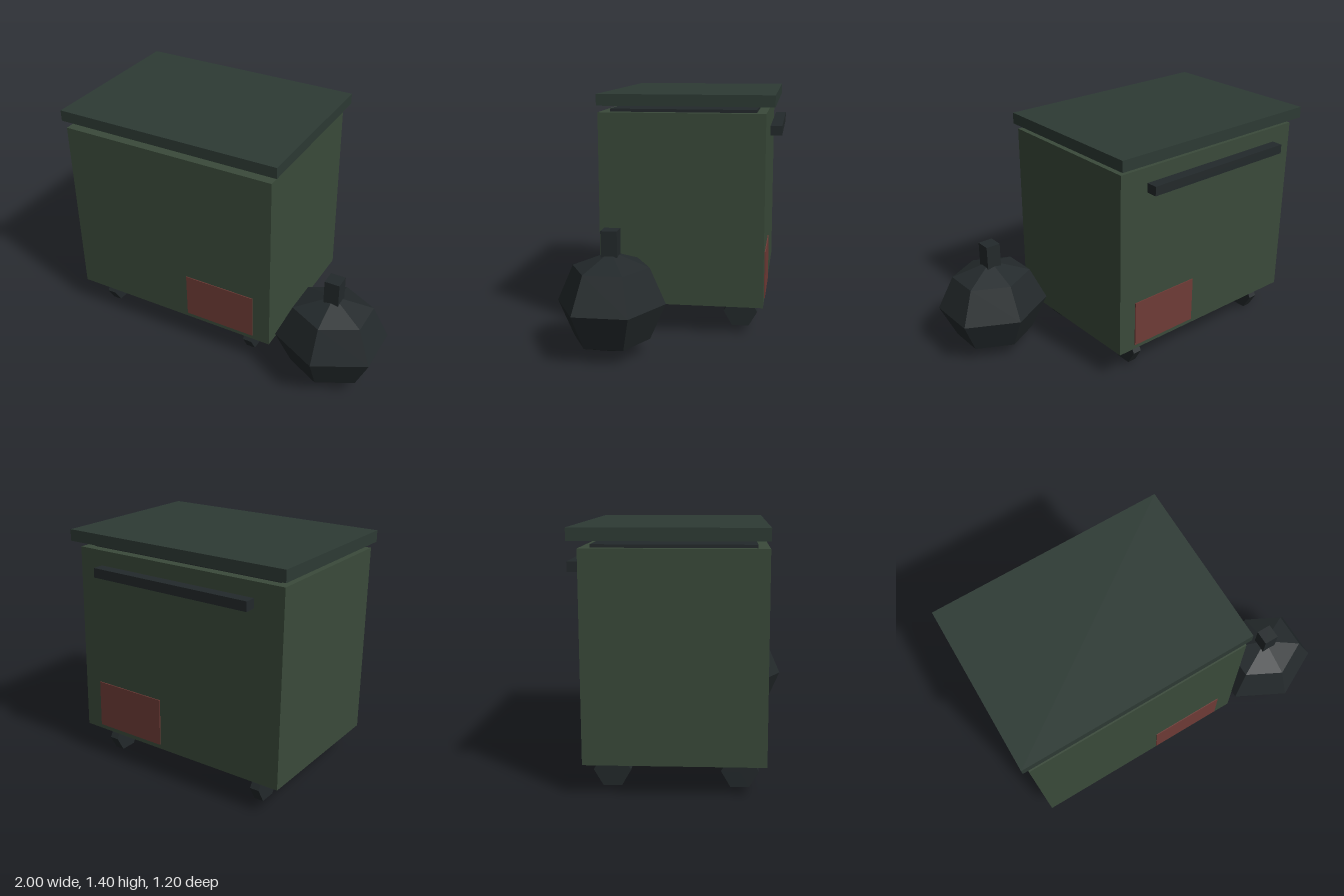
import * as THREE from 'three';

const paint = (color) => new THREE.MeshStandardMaterial({ color, flatShading: true });

export function createModel() {
  const model = new THREE.Group();
  const green = paint(0x3a4a3a);
  const lidGreen = paint(0x2d3a34);
  const rust = paint(0x6e3b36);
  const black = paint(0x23292b);
  const grey = paint(0x3a3d3c);

  const add = (parent, name, geometry, material) => {
    const mesh = new THREE.Mesh(geometry, material);
    mesh.name = name;
    parent.add(mesh);
    return mesh;
  };

  // Box given by its minimum and maximum on each axis
  const box = (parent, name, material, [x0, x1], [y0, y1], [z0, z1]) => {
    const mesh = add(parent, name, new THREE.BoxGeometry(x1 - x0, y1 - y0, z1 - z0), material);
    mesh.position.set((x0 + x1) / 2, (y0 + y1) / 2, (z0 + z1) / 2);
    return mesh;
  };

  // Container, lid and push bar
  box(model, 'body', green, [-0.97, 0.37], [0.178, 1.295], [-0.515, 0.44]);
  box(model, 'lid', lidGreen, [-1, 0.4], [1.334, 1.4], [-0.565, 0.441]);
  box(model, 'handle', black, [-0.805, 0.2], [1.16, 1.215], [-0.6, -0.533]);

  // Rust patches on front and back
  box(model, 'frontPatch', rust, [-0.19, 0.26], [0.205, 0.485], [0.43, 0.445]);
  box(model, 'backPatch', rust, [-0.19, 0.26], [0.205, 0.485], [-0.521, -0.505]);

  // Rubbish showing in the gap under the lid
  const rubbish = new THREE.Group();
  rubbish.name = 'rubbish';
  model.add(rubbish);
  box(rubbish, 'rubbishLayer', black, [-0.915, 0.31], [1.28, 1.312], [-0.46, 0.38]);
  box(rubbish, 'scrap', grey, [-0.31, -0.07], [1.305, 1.325], [-0.375, -0.15]);
  for (const [x, z] of [[-0.585, 0.1], [0.013, -0.095]]) {
    const lump = add(rubbish, 'rubbishLump', new THREE.ConeGeometry(0.04, 0.02, 6), black);
    lump.position.set(x, 1.311, z);
  }

  // Four hexagonal wheels
  const wheelGeometry = new THREE.CylinderGeometry(0.1, 0.1, 0.055, 6).rotateZ(Math.PI / 2);
  for (const x of [-0.807, 0.203]) {
    for (const z of [-0.376, 0.302]) {
      add(model, 'wheel', wheelGeometry, black).position.set(x, 0.108, z);
    }
  }

  // Tied rubbish bag standing beside the container
  const bag = new THREE.Group();
  bag.name = 'rubbishBag';
  bag.position.set(0.706, 0.287, 0.298);
  model.add(bag);
  const sack = new THREE.SphereGeometry(0.302, 6, 4).rotateY(Math.PI / 2).scale(1.115, 0.945, 1);
  add(bag, 'sack', sack, black);
  box(bag, 'knot', black, [-0.045, 0.045], [0.24, 0.405], [-0.045, 0.045]);

  return model;
}
